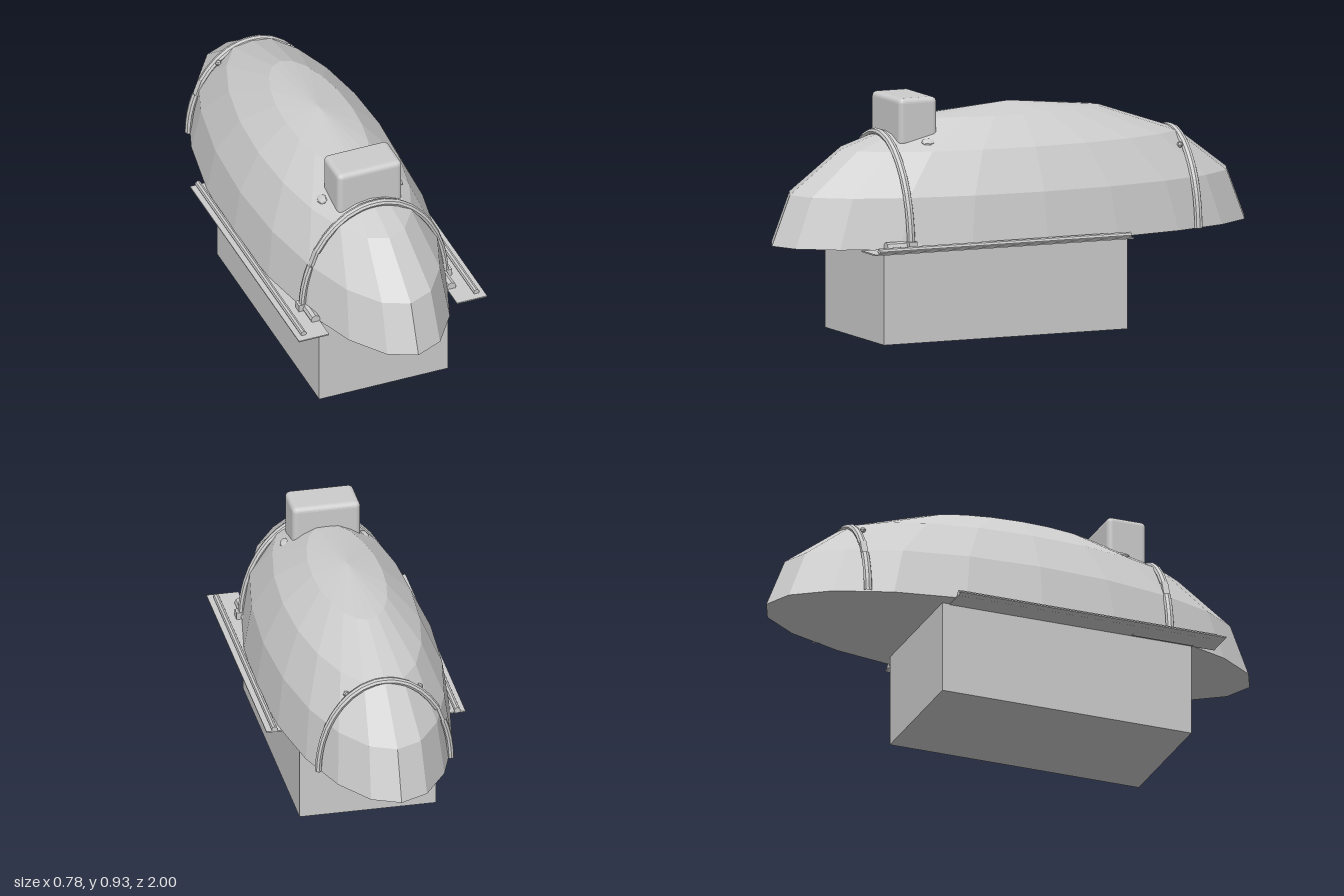
import * as THREE from 'three';
import { RoundedBoxGeometry } from 'three/addons/geometries/RoundedBoxGeometry.js';

const FLOOR = 0.37; // height of the dome's flat underside
const HALF_W = 0.355, DOME_H = 0.505;

export function createModel() {
  const model = new THREE.Group();
  model.name = 'domedShell';
  const grey = new THREE.MeshStandardMaterial({ color: 0xcccccc, flatShading: true });
  grey.name = 'plain grey';

  const add = (name, geometry, x = 0, y = 0, z = 0) => {
    const mesh = new THREE.Mesh(geometry, grey);
    mesh.name = name;
    mesh.position.set(x, y, z);
    model.add(mesh);
    return mesh;
  };

  // Faceted half-ellipsoid with a closed underside
  const dome = new THREE.SphereGeometry(1, 20, 4, 0, Math.PI * 2, 0, Math.PI / 2);
  dome.scale(HALF_W, DOME_H, 1);
  add('dome', dome, 0, FLOOR, 0);
  const underside = new THREE.CircleGeometry(1, 20);
  underside.rotateX(Math.PI / 2);
  underside.scale(HALF_W, 1, 1);
  add('domeUnderside', underside, 0, FLOOR, 0);

  // Block under the dome and rounded box on its roof
  add('base', new THREE.BoxGeometry(0.534, FLOOR, 1.03), 0, FLOOR / 2, 0.135);
  add('roofBox', new RoundedBoxGeometry(0.266, 0.187, 0.16, 3, 0.02), 0, 0.8335, 0.44);

  // Hoops over the dome, each with a joint on the right side
  const hoop = (name, z) => {
    const k = Math.sqrt(1 - z * z);
    const a = HALF_W * k + 0.001, b = DOME_H * k - 0.004;
    const at = (t) => new THREE.Vector3(a * Math.cos(t), b * Math.sin(t), 0);
    const arc = (from, to, steps) => {
      const path = new THREE.CurvePath();
      for (let i = 0; i < steps; i++) {
        path.add(new THREE.LineCurve3(
          at(from + (to - from) * i / steps), at(from + (to - from) * (i + 1) / steps)));
      }
      const tube = new THREE.TubeGeometry(path, steps * 2, 0.013, 8, false);
      tube.scale(1, 1, 1.3);
      return tube;
    };
    add(name, arc(0, Math.PI - 0.66, 14), 0, FLOOR, z);
    add(name + 'LowerPart', arc(Math.PI - 0.49, Math.PI, 4), 0, FLOOR, z);
    const p = at(Math.PI - 0.58);
    const joint = add(name + 'Joint', new THREE.BoxGeometry(0.012, 0.07, 0.026), p.x, FLOOR + p.y, z);
    joint.rotation.z = -0.35;
  };
  hoop('frontHoop', 0.55);
  hoop('rearHoop', -0.685);

  const rod = (radius, length) => {
    const g = new THREE.CylinderGeometry(radius, radius, length, 8);
    g.rotateX(Math.PI / 2);
    return g;
  };

  // Mirrored side rails and small lugs
  for (const [side, s] of [['left', 1], ['right', -1]]) {
    add(side + 'RailPlate', new THREE.BoxGeometry(0.125, 0.005, 1.095), s * 0.3275, 0.3695, 0.1975);
    add(side + 'RailRod', rod(0.012, 1.065), s * 0.358, 0.378, 0.1825);
    add(side + 'InnerRod', rod(0.019, 0.25), s * 0.282, 0.381, 0.525);
    add(side + 'HoopFoot', new THREE.BoxGeometry(0.025, 0.03, 0.035), s * 0.305, 0.385, 0.55);

    const lug = add(side + 'Lug', new THREE.SphereGeometry(1, 8, 6), s * 0.157, 0.757, 0.41);
    lug.scale.set(0.02, 0.01, 0.03);
    lug.rotation.z = -s * 0.5;
    const rearLug = add(side + 'RearLug', new THREE.SphereGeometry(1, 6, 4), s * 0.145, 0.68, -0.66);
    rearLug.scale.set(0.012, 0.012, 0.012);
  }
  return model;
}
